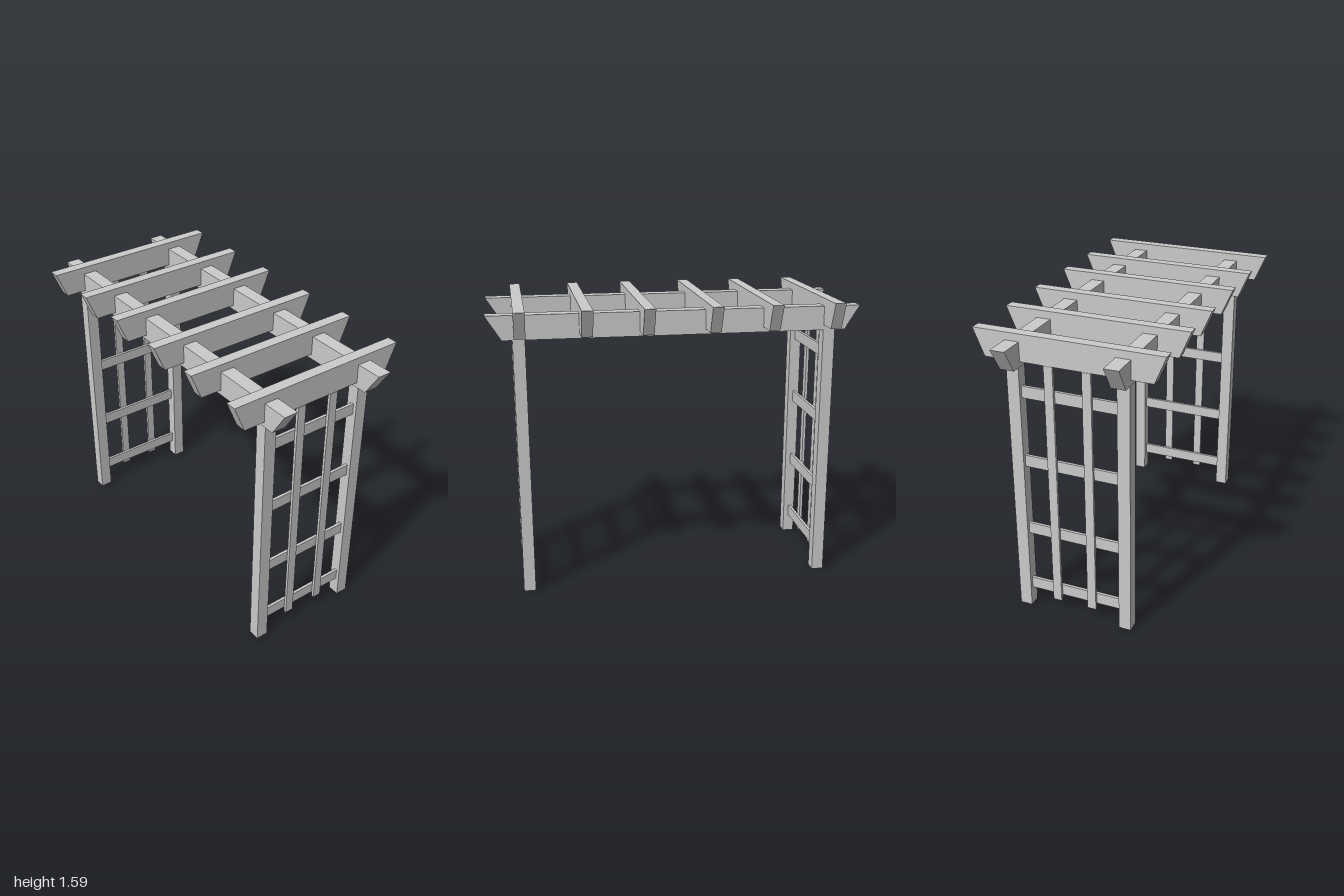
import * as THREE from 'three';

const material = new THREE.MeshStandardMaterial({ color: 0xcccccc, flatShading: true });

export function createModel() {
  const model = new THREE.Group();
  model.name = 'gardenPergola';

  function add(parent, name, geometry, x, y, z) {
    const mesh = new THREE.Mesh(geometry, material);
    mesh.name = name;
    mesh.position.set(x, y, z);
    parent.add(mesh);
    return mesh;
  }

  // Board along x with slanted ends, longer along its top edge
  function slantedBoard(halfTop, halfBottom, height, thickness) {
    const shape = new THREE.Shape([
      new THREE.Vector2(-halfBottom, 0),
      new THREE.Vector2(halfBottom, 0),
      new THREE.Vector2(halfTop, height),
      new THREE.Vector2(-halfTop, height),
    ]);
    return new THREE.ExtrudeGeometry(shape, { depth: thickness, bevelEnabled: false })
      .translate(0, 0, -thickness / 2);
  }

  // Two side frames: posts, rails and outer slats
  const postGeometry = new THREE.BoxGeometry(0.065, 1.416, 0.067);
  const railGeometry = new THREE.BoxGeometry(0.016, 0.064, 0.52);
  const slatGeometry = new THREE.BoxGeometry(0.016, 1.368, 0.048);
  for (const side of [-1, 1]) {
    const frame = new THREE.Group();
    frame.name = side > 0 ? 'leftSideFrame' : 'rightSideFrame';
    for (const end of [-1, 1]) {
      add(frame, 'post', postGeometry, side * 0.832, 0.708, end * 0.293);
      add(frame, 'latticeSlat', slatGeometry, side * 0.853, 0.759, end * 0.101);
    }
    for (const y of [0.138, 0.488, 0.891, 1.277]) {
      add(frame, 'latticeRail', railGeometry, side * 0.837, y, 0);
    }
    model.add(frame);
  }

  // Long beams resting on the posts
  const beamGeometry = slantedBoard(1, 0.918, 0.13, 0.077);
  for (const end of [-1, 1]) {
    add(model, end > 0 ? 'frontBeam' : 'backBeam', beamGeometry, 0, 1.416, end * 0.291);
  }

  // Rafters notched over the beams
  const rafterGeometry = slantedBoard(0.505, 0.445, 0.144, 0.059).rotateY(Math.PI / 2);
  for (const x of [-0.829, -0.494, -0.178, 0.174, 0.49, 0.829]) {
    add(model, 'rafter', rafterGeometry, x, 1.443, 0);
  }

  return model;
}
